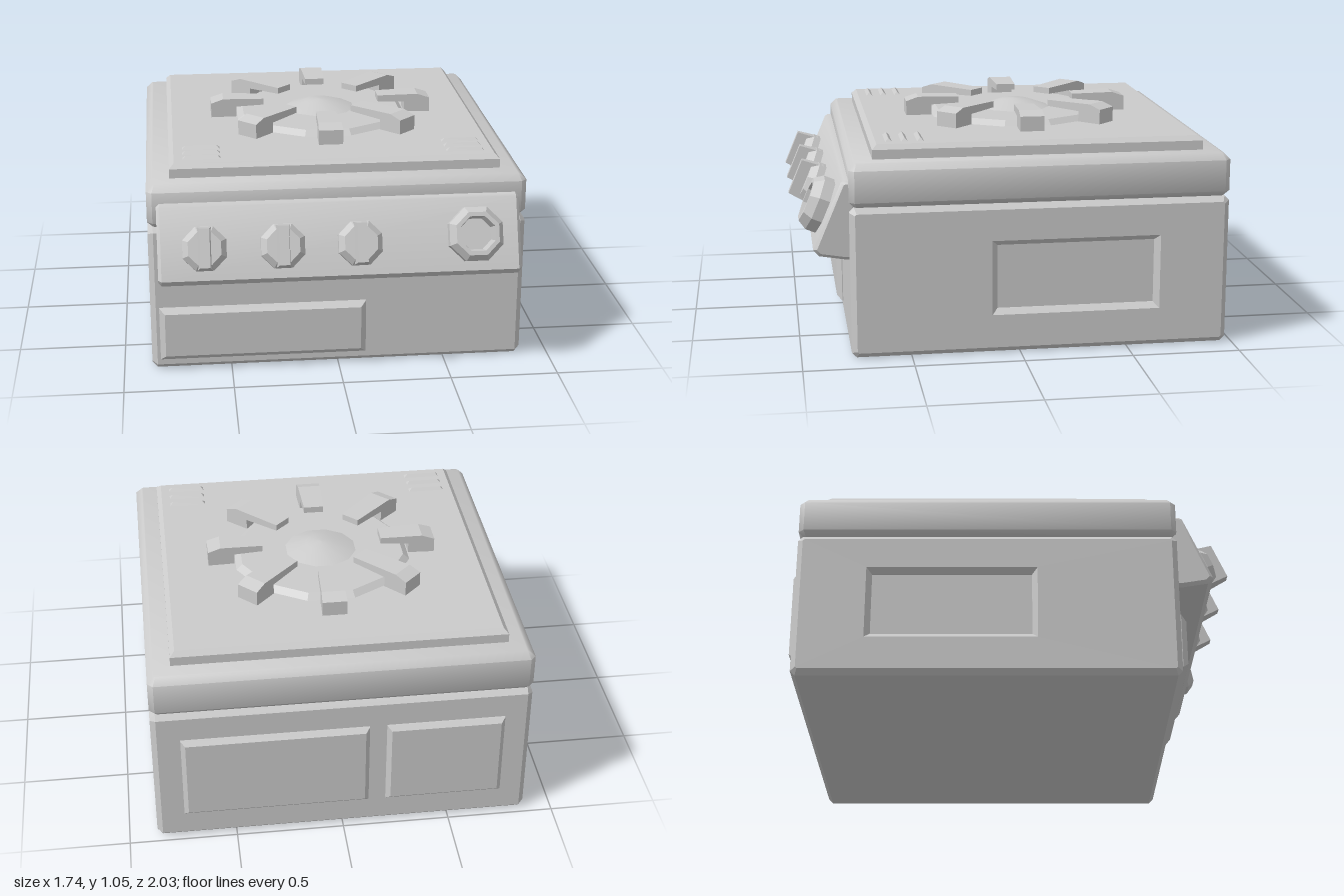
import * as THREE from 'three';
import { toCreasedNormals } from 'three/addons/utils/BufferGeometryUtils.js';

const flat = new THREE.MeshStandardMaterial({ color: 0xcccccc, flatShading: true });
const smooth = new THREE.MeshStandardMaterial({ color: 0xcccccc });

// Rectangle outline with clipped corners
function rectPoints(w, h, c = 0, cx = 0, cy = 0) {
  const x = w / 2, y = h / 2;
  const pts = c
    ? [[x - c, -y], [x, -y + c], [x, y - c], [x - c, y], [-x + c, y], [-x, y - c], [-x, -y + c], [-x + c, -y]]
    : [[x, -y], [x, y], [-x, y], [-x, -y]];
  return pts.map(([a, b]) => new THREE.Vector2(a + cx, b + cy));
}

// Extrusion with chamfered ends, centred on z, no larger than its outline
function chamfered(shape, depth, bevel) {
  const g = new THREE.ExtrudeGeometry(shape, {
    depth: depth - 2 * bevel, bevelEnabled: bevel > 0, bevelThickness: bevel,
    bevelSize: bevel, bevelOffset: -bevel, bevelSegments: 1,
  });
  return g.translate(0, 0, -(depth - 2 * bevel) / 2);
}

const plate = (w, h, depth, bevel, corner) =>
  chamfered(new THREE.Shape(rectPoints(w, h, corner)), depth, bevel);

// Slab lying flat, thickness along y
const slab = (w, d, h, bevel, corner) => plate(w, d, h, bevel, corner).rotateX(-Math.PI / 2);

export function createModel() {
  const model = new THREE.Group();
  const add = (name, geometry, x = 0, y = 0, z = 0, parent = model, material = flat) => {
    const mesh = new THREE.Mesh(geometry, material);
    mesh.name = name;
    mesh.position.set(x, y, z);
    parent.add(mesh);
    return mesh;
  };

  // Body: side profile (z, y) with a window that becomes a recess on both sides
  const profile = new THREE.Shape(rectPoints(1.745, 0.7, 0.022, -0.1, 0.35));
  profile.holes.push(new THREE.Path(rectPoints(0.73, 0.3, 0, -0.26, 0.355).reverse()));
  add('body', chamfered(profile, 1.74, 0.025).rotateY(-Math.PI / 2));
  add('recessFloor', new THREE.BoxGeometry(1.68, 0.5, 1.2), 0, 0.355, -0.2);

  // Lid and raised top plate
  add('lid', toCreasedNormals(slab(1.74, 1.745, 0.205, 0.03, 0.025), 0.9), 0, 0.7975, -0.1, model, smooth);
  add('topPlate', slab(1.525, 1.525, 0.1, 0.022), 0, 0.915, -0.1025);

  // Raised panels on front and back
  add('frontPanel', plate(0.96, 0.26, 0.08, 0.025), -0.35, 0.18, 0.762);
  add('backPanelLarge', plate(0.86, 0.425, 0.08, 0.02), 0.31, 0.35, -0.96);
  add('backPanelSmall', plate(0.545, 0.425, 0.08, 0.02), -0.4725, 0.35, -0.96);

  // Vent slats in the two front corners of the top
  for (const side of [-1, 1]) {
    for (let i = 0; i < 3; i++) {
      add('ventSlat', slab(0.18, 0.036, 0.04, 0.0165), side * 0.612, 0.959, 0.435 + i * 0.0725);
    }
  }

  // Burner disc and cap
  const burner = new THREE.Group();
  burner.name = 'burner';
  burner.position.z = -0.105;
  model.add(burner);
  const v = (x, y) => new THREE.Vector2(x, y);
  add('burnerDisc', new THREE.LatheGeometry([v(0.43, 0.95), v(0.43, 0.965), v(0.4, 0.99), v(0, 0.99)],
    12, Math.PI / 12), 0, 0, 0, burner);
  add('burnerCap', new THREE.LatheGeometry([v(0.185, 0.985), v(0.07, 1.025), v(0, 1.03)],
    12, Math.PI / 12), 0, 0, 0, burner, smooth);

  // Eight pan supports, the diagonal ones reaching further in
  for (let i = 0; i < 8; i++) {
    const inner = i % 2 ? 0.235 : 0.285;
    const outline = [v(0.42, 0.95), v(0.545, 0.95), v(0.545, 1.035), v(0.485, 1.055),
      v(inner, 1.05), v(inner, 1.02), v(0.42, 1.015)];
    const g = chamfered(new THREE.Shape(outline), 0.115, 0);
    const p = g.attributes.position;
    for (let k = 0; k < p.count; k++) {
      p.setZ(k, p.getZ(k) * (0.82 + 0.18 * (p.getX(k) - inner) / (0.545 - inner)));
    }
    add('panSupport', g, 0, 0, 0, burner).rotation.y = i * Math.PI / 4;
  }

  // Sloping control panel, profile in (z, y)
  const control = new THREE.Shape([v(0.74, 0.455), v(0.79, 0.455), v(0.91, 0.475), v(0.935, 0.505),
    v(0.805, 0.81), v(0.79, 0.82), v(0.74, 0.82)]);
  add('controlPanel', toCreasedNormals(chamfered(control, 1.655, 0.015).rotateY(-Math.PI / 2), 0.7),
    0, 0, 0, model, smooth);

  // Controls stand square to the sloping face
  const mount = (name, x, y) => {
    const g = new THREE.Group();
    g.name = name;
    g.position.set(x, y, 0.805 + (0.81 - y) * 0.426);
    g.rotation.x = Math.atan2(0.92, 0.39);
    model.add(g);
    return g;
  };

  // Three knobs with a grip ridge
  for (const x of [-0.617, -0.265, 0.085]) {
    const knob = mount('knob', x, 0.637);
    add('knobBase', new THREE.LatheGeometry([v(0.107, -0.02), v(0.107, 0.035), v(0.08, 0.07), v(0, 0.07)],
      8, Math.PI / 8), 0, 0, 0, knob);
    const grip = new THREE.BoxGeometry(0.07, 0.11, 0.2);
    const p = grip.attributes.position;
    for (let k = 0; k < p.count; k++) {
      if (p.getY(k) > 0) p.setXYZ(k, p.getX(k) * 0.65, p.getY(k), p.getZ(k) * 0.88);
    }
    add('knobGrip', grip, 0, 0.068, 0, knob);
  }

  // Hollow octagonal dial
  const dial = mount('dial', 0.612, 0.657);
  add('dialRing', new THREE.LatheGeometry([v(0.132, -0.02), v(0.132, 0.05), v(0.105, 0.092),
    v(0.085, 0.092), v(0.075, 0.03), v(0, 0.03)], 8, Math.PI / 8), 0, 0, 0, dial);

  return model;
}
